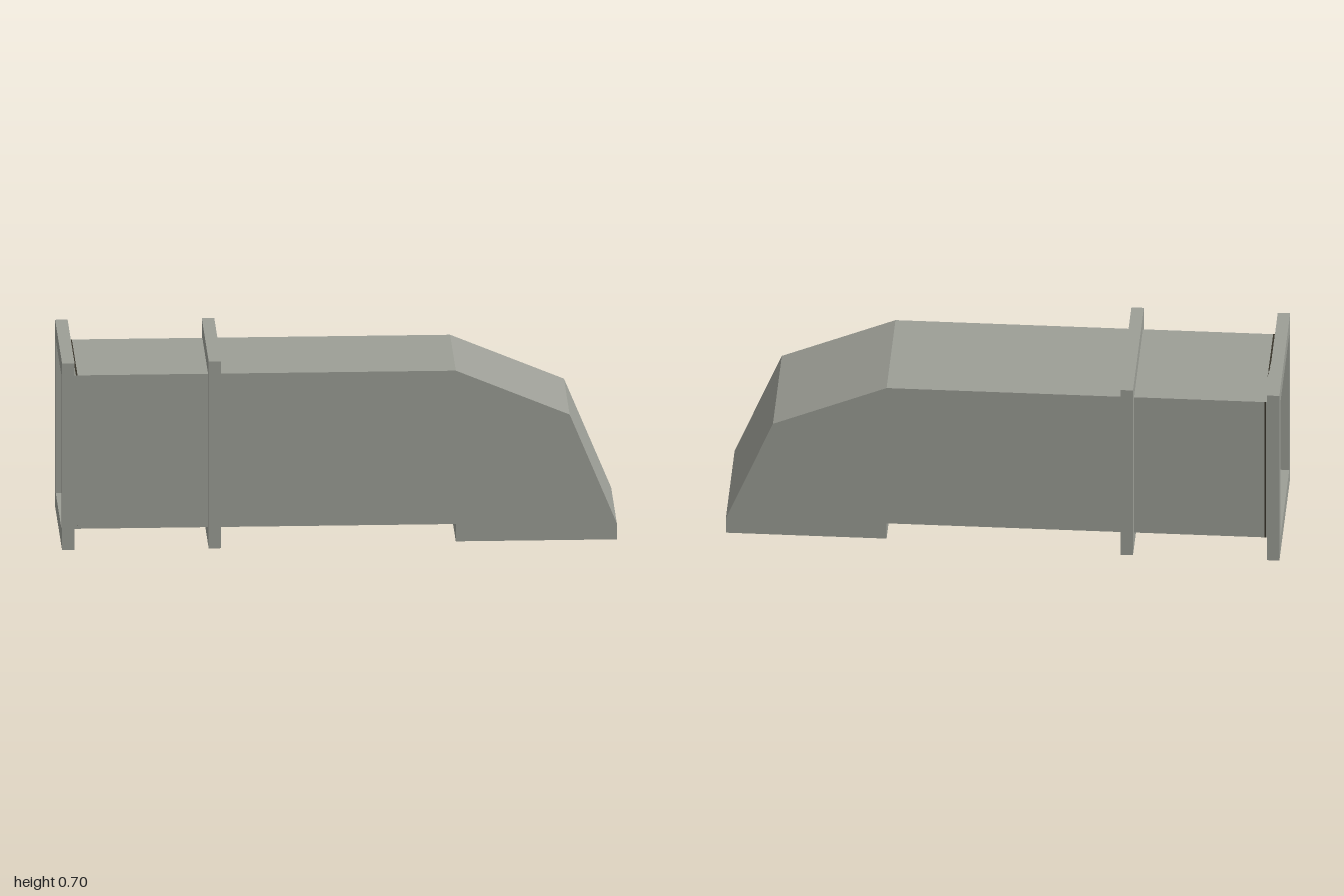
import * as THREE from 'three';

const HALF_WIDTH = 0.23;
const FLOOR = 0.065;
const CEILING = 0.64;
const FLANGE_DEPTH = 0.045;

// Sheet-metal outline seen from the front, counter-clockwise,
// broken at the open outlet underneath and at the open inlet
const lowerRun = [[-0.96, FLOOR], [0.42, FLOOR], [0.42, 0]];
const upperRun = [[1, 0], [1, 0.06], [0.83, 0.47], [0.42, CEILING], [-0.96, CEILING]];

// Folds a strip of flat panels across the duct's width along a run of points
function foldedSheet(run) {
  const pos = [];
  const w = HALF_WIDTH;
  for (let i = 0; i < run.length - 1; i++) {
    const [ax, ay] = run[i];
    const [bx, by] = run[i + 1];
    pos.push(ax, ay, -w, bx, by, -w, bx, by, w);
    pos.push(ax, ay, -w, bx, by, w, ax, ay, w);
  }
  const geo = new THREE.BufferGeometry();
  geo.setAttribute('position', new THREE.Float32BufferAttribute(pos, 3));
  geo.computeVertexNormals();
  return geo;
}

function rectangle(Type, x0, y0, x1, y1) {
  return new Type([[x0, y0], [x1, y0], [x1, y1], [x0, y1]].map(([x, y]) => new THREE.Vector2(x, y)));
}

// Rectangular collar with the duct's section cut out of it
function flangeGeometry() {
  const shape = rectangle(THREE.Shape, -0.28, 0, 0.28, 0.7);
  shape.holes.push(rectangle(THREE.Path, -HALF_WIDTH, FLOOR, HALF_WIDTH, CEILING));
  const geo = new THREE.ExtrudeGeometry(shape, { depth: FLANGE_DEPTH, bevelEnabled: false });
  return geo.rotateY(Math.PI / 2);
}

export function createModel() {
  const model = new THREE.Group();
  model.name = 'ventilationDuct';

  const metal = new THREE.MeshStandardMaterial({ color: 0x9c9e96, side: THREE.DoubleSide });
  metal.name = 'galvanised grey';
  const dark = new THREE.MeshStandardMaterial({ color: 0x38342a, side: THREE.DoubleSide });
  dark.name = 'dark mesh';

  const add = (name, geo, material) => {
    const mesh = new THREE.Mesh(geo, material);
    mesh.name = name;
    model.add(mesh);
    return mesh;
  };

  // Duct: floor with step, roof with bent hood, two side walls
  add('ductFloor', foldedSheet(lowerRun), metal);
  add('ductRoofAndHood', foldedSheet(upperRun), metal);
  const outline = new THREE.Shape([...lowerRun, ...upperRun].map(([x, y]) => new THREE.Vector2(x, y)));
  add('leftToRightFrontWall', new THREE.ShapeGeometry(outline), metal).position.z = HALF_WIDTH;
  const backWall = new THREE.ShapeGeometry(outline);
  // Reverse the corner order so the back wall faces outwards
  backWall.index.array.reverse();
  backWall.computeVertexNormals();
  add('backWall', backWall, metal).position.z = -HALF_WIDTH;
  model.getObjectByName('leftToRightFrontWall').name = 'frontWall';

  // Joining collars
  [['inletFlange', -1], ['middleFlange', -0.472]].forEach(([name, x]) => {
    add(name, flangeGeometry(), metal).position.x = x;
  });

  // Screen set just inside the inlet
  const screen = new THREE.BoxGeometry(0.006, CEILING - FLOOR, 2 * HALF_WIDTH);
  add('inletScreen', screen, dark).position.set(-0.945, (FLOOR + CEILING) / 2, 0);

  return model;
}
